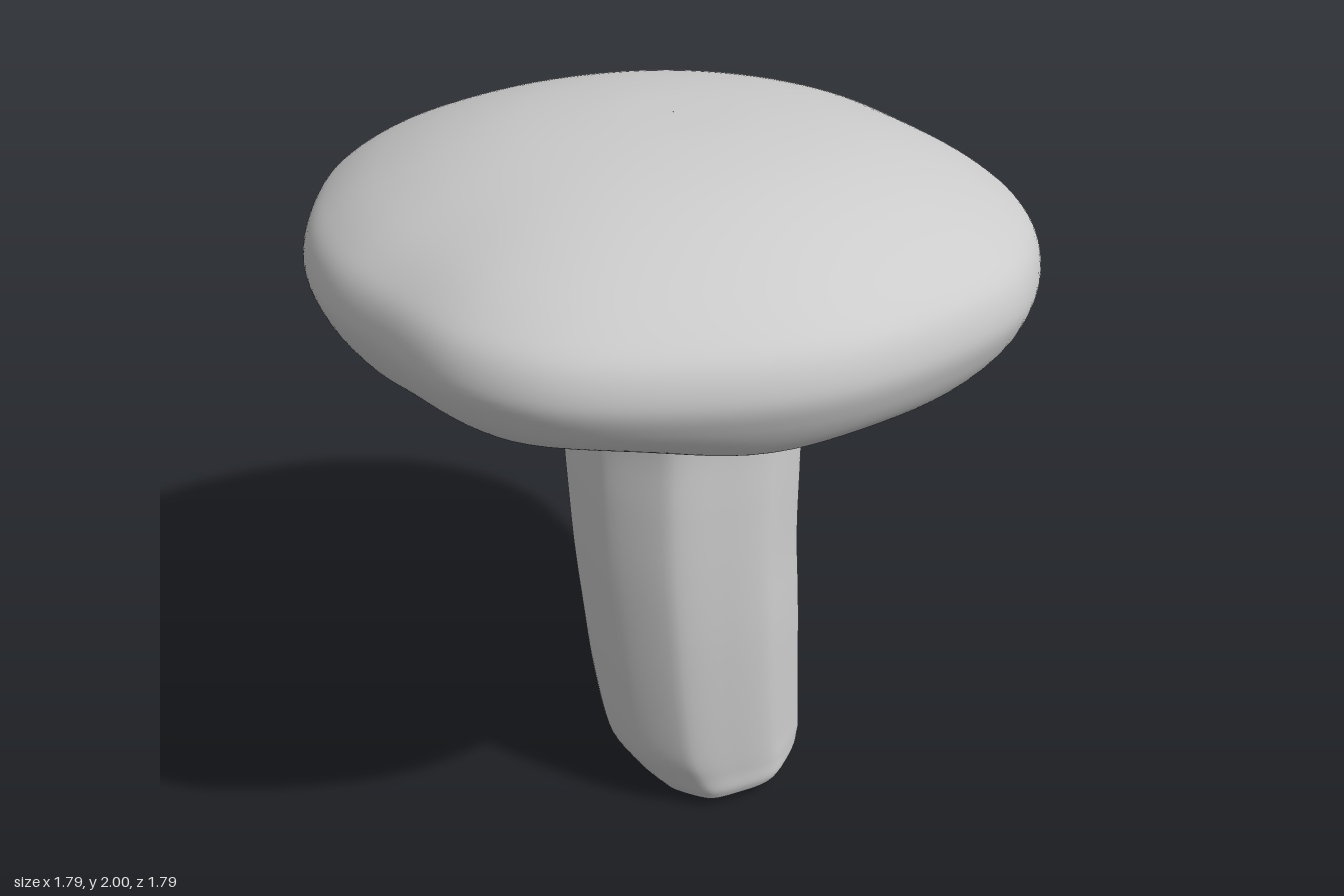
import * as THREE from 'three';

const V = (x, y, z) => new THREE.Vector3(x, y, z);
const closedCurve = (pts, type, tension) => new THREE.CatmullRomCurve3(pts.map(([x, z]) => V(x, 0, z)), true, type, tension);
const openCurve = pts => new THREE.CatmullRomCurve3(pts.map(p => V(...p)), false, 'catmullrom', 0.5);

// Skin a smooth surface through closed rings, ordered bottom to top along the outside
function loft(rows, cols, point) {
  const pos = [], index = [];
  for (let i = 0; i <= rows; i++) {
    for (let j = 0; j < cols; j++) pos.push(...point(i / rows, j / cols).toArray());
  }
  for (let i = 0; i < rows; i++) {
    for (let j = 0; j < cols; j++) {
      const k = (j + 1) % cols;
      const a = i * cols + j, b = i * cols + k, c = a + cols, d = b + cols;
      index.push(a, c, b, b, c, d);
    }
  }
  const g = new THREE.BufferGeometry();
  g.setAttribute('position', new THREE.Float32BufferAttribute(pos, 3));
  g.setIndex(index);
  g.computeVertexNormals();
  return g;
}

// Cap: uneven plan outline scaled along a profile that runs hollow underside, rim, dome
function capGeometry() {
  const outline = closedCurve([
    [0.89, 0.07], [0.875, 0.22], [0.805, 0.41], [0.61, 0.655], [0.3, 0.82], [0, 0.89],
    [-0.3, 0.86], [-0.58, 0.755], [-0.735, 0.59], [-0.83, 0.31], [-0.89, 0.08], [-0.887, -0.17],
    [-0.82, -0.4], [-0.72, -0.6], [-0.57, -0.76], [-0.3, -0.865], [0, -0.895], [0.22, -0.875],
    [0.45, -0.8], [0.66, -0.645], [0.8, -0.43], [0.85, -0.18],
  ], 'centripetal');
  const profile = openCurve([
    [0.001, 1.7, 0], [0.3, 1.695, 0], [0.5, 1.685, 0], [0.68, 1.66, 0], [0.79, 1.615, 0],
    [0.85, 1.535, 0], [0.89, 1.505, 0], [0.94, 1.53, 0], [0.98, 1.58, 0], [1, 1.65, 0],
    [0.975, 1.73, 0], [0.91, 1.79, 0], [0.8, 1.853, 0], [0.64, 1.916, 0], [0.45, 1.963, 0],
    [0.22, 1.99, 0], [0.001, 1.996, 0],
  ]);
  return loft(96, 128, (t, u) => {
    const p = profile.getPoint(t), o = outline.getPoint(u), a = u * Math.PI * 2;
    const s = p.x;
    // the outline evens out to a circle towards the middle
    o.setLength(THREE.MathUtils.lerp(0.9, o.length(), s * s)).multiplyScalar(s);
    // tilt, wavy lip and soft folds inside
    const under = 1 - THREE.MathUtils.smoothstep(t, 0.4, 0.52);
    const lip = Math.exp(-(((s - 0.88) / 0.1) ** 2)) * under;
    const fold = Math.exp(-(((s - 0.75) / 0.08) ** 2)) * under;
    const y = p.y - 0.035 * o.x + 0.035 * (1 - 0.5 * under) * o.z
      + lip * (0.01 * Math.sin(5 * a - 2.2) + 0.006 * Math.sin(11 * a))
      + fold * 0.008 * Math.sin(22 * a);
    return V(o.x, y, o.z);
  });
}

// Stem: ridged section fitted between changing extents, flaring under the cap
function stemGeometry() {
  const section = closedCurve([
    [1, -0.5], [1, 0], [0.97, 0.5], [0.5, 0.97], [0, 1], [-0.45, 0.93], [-0.88, 0.45],
    [-1, -0.2], [-0.65, -0.72], [-0.12, -0.88], [0.36, -1], [0.68, -0.72],
  ], 'catmullrom', 0.35);
  // height, then min and max along x and z
  const levels = [
    [0.0, 0.07, 0.075, 0.02, 0.025], [0.0, -0.05, 0.24, -0.14, 0.2], [0.03, -0.09, 0.315, -0.175, 0.24],
    [0.1, -0.14, 0.335, -0.185, 0.245], [0.2, -0.19, 0.335, -0.195, 0.25], [0.4, -0.225, 0.33, -0.225, 0.257],
    [0.6, -0.245, 0.325, -0.25, 0.26], [0.8, -0.26, 0.32, -0.28, 0.255], [1.0, -0.265, 0.33, -0.32, 0.245],
    [1.2, -0.265, 0.345, -0.39, 0.235], [1.35, -0.29, 0.355, -0.46, 0.26], [1.45, -0.325, 0.385, -0.52, 0.31],
    [1.54, -0.375, 0.43, -0.56, 0.375], [1.64, -0.45, 0.5, -0.61, 0.46], [1.73, -0.55, 0.58, -0.66, 0.56],
  ];
  const xs = openCurve(levels.map(l => [l[1], l[0], l[2]]));
  const zs = openCurve(levels.map(l => [l[3], l[0], l[4]]));
  return loft(84, 84, (t, u) => {
    const ex = xs.getPoint(t), ez = zs.getPoint(t), s = section.getPoint(u);
    const x = THREE.MathUtils.lerp(ex.x, ex.z, (s.x + 1) / 2);
    const z = THREE.MathUtils.lerp(ez.x, ez.z, (s.z + 1) / 2);
    // slanted foot
    const foot = 1 - THREE.MathUtils.smoothstep(ex.y, 0, 0.3);
    return V(x, Math.max(0, ex.y + foot * (0.01 + 0.09 * x + 0.05 * z)), z);
  });
}

export function createModel() {
  const group = new THREE.Group();
  group.name = 'mushroom';
  const material = new THREE.MeshStandardMaterial({ color: 0xcccccc });
  const parts = { cap: capGeometry(), stem: stemGeometry() };
  for (const [name, geometry] of Object.entries(parts)) {
    const mesh = new THREE.Mesh(geometry, material);
    mesh.name = name;
    group.add(mesh);
  }
  return group;
}
